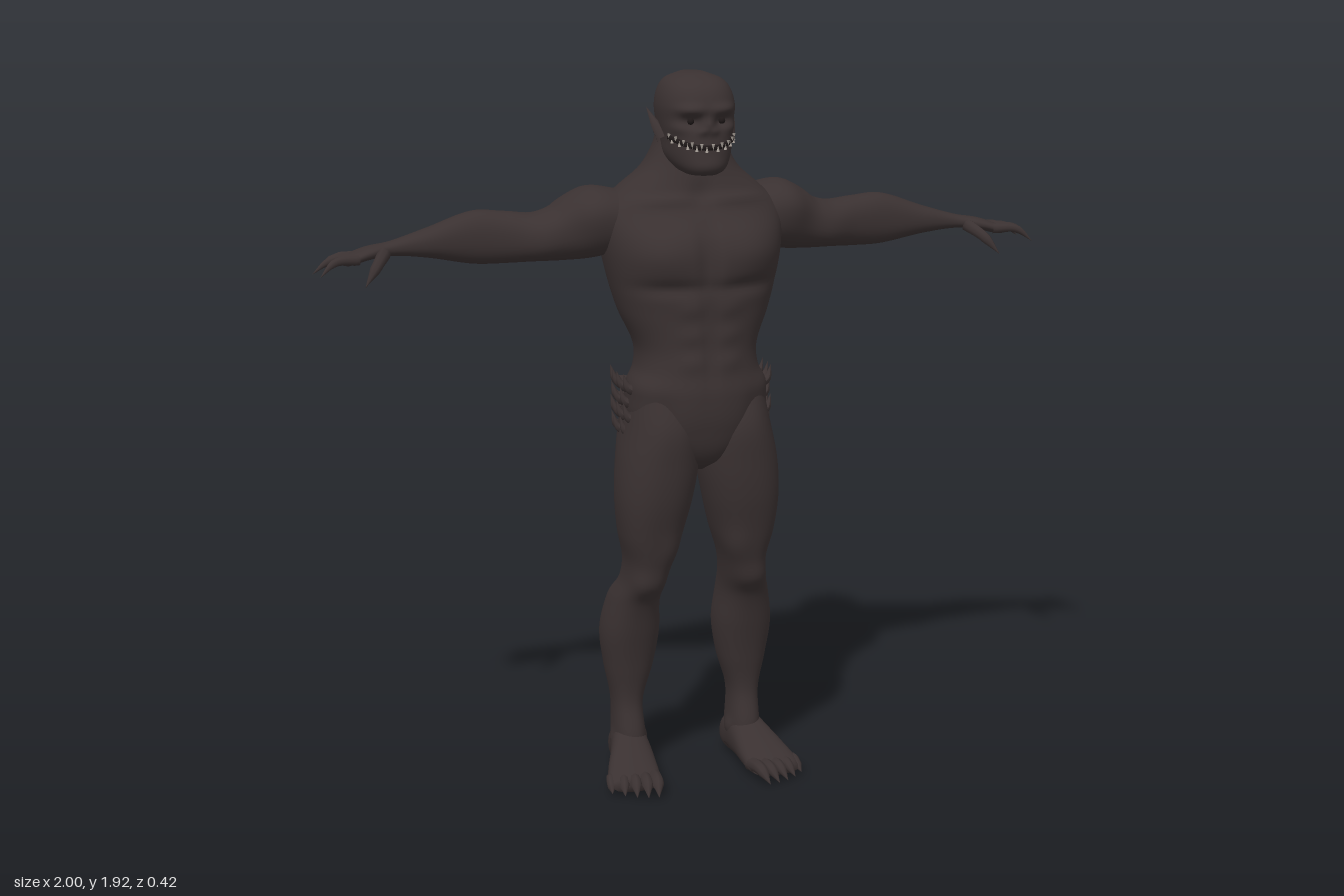
import * as THREE from 'three';

const mat = (name, color) => Object.assign(new THREE.MeshStandardMaterial({ color }), { name });

// Smooth curve through table rows; the first number of a row is the position along the axis
function sample(rows, t) {
  let i = 0;
  while (i < rows.length - 2 && t > rows[i + 1][0]) i++;
  const a = rows[i], b = rows[i + 1], p = rows[Math.max(i - 1, 0)], n = rows[Math.min(i + 2, rows.length - 1)];
  const h = b[0] - a[0], u = (t - a[0]) / h;
  return a.slice(1).map((_, k) => {
    k += 1;
    const m0 = (b[k] - p[k]) / (b[0] - p[0]) * h, m1 = (n[k] - a[k]) / (n[0] - a[0]) * h;
    const u2 = u * u, u3 = u2 * u;
    return (2 * u3 - 3 * u2 + 1) * a[k] + (u3 - 2 * u2 + u) * m0 + (3 * u2 - 2 * u3) * b[k] + (u3 - u2) * m1;
  });
}

// Closed loft of rounded sections. Row = [t, aMin, aMax, bMin, bMax];
// (a, b) are (x, z) along y, (z, y) along x and (y, x) along z.
function loft(axis, rows, steps, sides, power = 0.87) {
  const pos = [], index = [], t0 = rows[0][0], t1 = rows[rows.length - 1][0];
  const round = v => Math.sign(v) * Math.abs(v) ** power;
  for (let i = -1; i <= steps + 1; i++) {
    const t = t0 + (t1 - t0) * Math.min(Math.max(i, 0), steps) / steps;
    const [a0, a1, b0, b1] = sample(rows, t), open = i < 0 || i > steps ? 0 : 0.5;
    for (let j = 0; j < sides; j++) {
      const w = j / sides * Math.PI * 2;
      const a = (a0 + a1) / 2 + (a1 - a0) * open * round(Math.cos(w));
      const b = (b0 + b1) / 2 + (b1 - b0) * open * round(Math.sin(w));
      pos.push(...(axis === 'y' ? [a, t, b] : axis === 'x' ? [t, b, a] : [b, a, t]));
    }
  }
  for (let i = 0; i < steps + 2; i++) for (let j = 0; j < sides; j++) {
    const p = i * sides + j, q = i * sides + (j + 1) % sides;
    index.push(p, p + sides, q, q, p + sides, q + sides);
  }
  const g = new THREE.BufferGeometry();
  g.setAttribute('position', new THREE.Float32BufferAttribute(pos, 3));
  g.setIndex(index);
  g.computeVertexNormals();
  return g;
}

// Push the skin in or out around points: [x, y, z, rx, ry, rz, amount], the same on both sides
function sculpt(g, bumps) {
  const p = g.attributes.position, n = g.attributes.normal;
  for (let i = 0; i < p.count; i++) {
    const x = p.getX(i), y = p.getY(i), z = p.getZ(i);
    let d = 0;
    for (const [bx, by, bz, rx, ry, rz, k] of bumps)
      d += k * Math.exp(-(((Math.abs(x) - bx) / rx) ** 2) - ((y - by) / ry) ** 2 - ((z - bz) / rz) ** 2);
    p.setXYZ(i, x + n.getX(i) * d, y + n.getY(i) * d, z + n.getZ(i) * d);
  }
  g.computeVertexNormals();
  return g;
}

// Bent round finger, claw or horn that ends in a point
function spike(points, r, blunt = 0.6, n = 12) {
  const curve = new THREE.CatmullRomCurve3(points.map(p => new THREE.Vector3(...p)));
  const g = new THREE.TubeGeometry(curve, n, r, 8), p = g.attributes.position, v = new THREE.Vector3();
  for (let i = 0; i < p.count; i++) {
    const t = Math.floor(i / 9) / n;
    const f = t < blunt ? 1 - 0.25 * t / blunt : 0.75 * (1 - t) / (1 - blunt);
    v.fromBufferAttribute(p, i).lerp(curve.getPointAt(t), 1 - f);
    p.setXYZ(i, v.x, v.y, v.z);
  }
  g.computeVertexNormals();
  return g;
}

function mirror(g) {
  const m = g.clone().scale(-1, 1, 1), ix = m.index;
  for (let i = 0; i < ix.count; i += 3) {
    const a = ix.getX(i);
    ix.setX(i, ix.getX(i + 1));
    ix.setX(i + 1, a);
  }
  m.computeVertexNormals();
  return m;
}

export function createModel() {
  const model = new THREE.Group();
  model.name = 'creature';
  const skin = mat('dark skin', 0x3a3131), dark = mat('mouth and eye dark', 0x1e1818), bone = mat('teeth', 0xa8a098);
  const add = (name, g, m = skin) => {
    const mesh = new THREE.Mesh(g, m);
    mesh.name = name;
    model.add(mesh);
  };
  const pair = (name, g, m) => { add(name + 'Left', g, m); add(name + 'Right', mirror(g), m); };

  // Torso and neck: y, half width, back, front
  const torso = [
    [0.87, 0.025, -0.04, 0.07], [0.91, 0.09, -0.1, 0.14], [1.0, 0.18, -0.138, 0.175], [1.09, 0.186, -0.13, 0.183],
    [1.15, 0.165, -0.122, 0.175], [1.21, 0.163, -0.128, 0.168], [1.3, 0.2, -0.165, 0.165], [1.4, 0.228, -0.193, 0.17],
    [1.5, 0.245, -0.2, 0.155], [1.57, 0.24, -0.185, 0.11], [1.62, 0.19, -0.16, 0.085], [1.67, 0.132, -0.13, 0.07],
    [1.73, 0.098, -0.105, 0.055], [1.8, 0.08, -0.09, 0.04]];
  const torsoBumps = [
    [0.11, 1.46, 0.14, 0.09, 0.06, 0.08, 0.02], [0.1, 1.375, 0.16, 0.1, 0.02, 0.08, -0.013], // chest
    [0, 1.46, 0.16, 0.014, 0.1, 0.07, -0.014], [0, 1.22, 0.17, 0.012, 0.13, 0.06, -0.006],
    [0.1, 1.595, 0.09, 0.1, 0.012, 0.05, 0.008], [0, 1.61, 0.09, 0.03, 0.03, 0.04, -0.012], // collarbones
    [0, 1.33, -0.17, 0.025, 0.24, 0.08, -0.024], [0.12, 1.5, -0.18, 0.07, 0.07, 0.07, 0.014], // back
    [0.09, 1.0, -0.13, 0.07, 0.07, 0.06, 0.014], [0, 0.98, -0.13, 0.018, 0.09, 0.08, -0.035], // buttocks
    [0.12, 1.03, 0.14, 0.03, 0.06, 0.06, -0.008], [0.16, 1.11, 0.06, 0.05, 0.03, 0.1, 0.006]]; // hips
  for (const y of [1.18, 1.25, 1.32]) torsoBumps.push([0.05, y, 0.17, 0.035, 0.025, 0.05, 0.006]); // belly
  add('torso', sculpt(loft('y', torso.map(([y, w, b, f]) => [y, -w, w, b, f]), 90, 72), torsoBumps));

  // Head with brow, eye sockets, nose, cheeks and jaw
  const head = [
    [1.665, 0.04, 0.03, 0.13], [1.675, 0.058, -0.01, 0.148], [1.7, 0.076, -0.055, 0.153], [1.75, 0.088, -0.09, 0.148],
    [1.8, 0.097, -0.103, 0.14], [1.84, 0.1, -0.106, 0.142], [1.88, 0.09, -0.098, 0.126], [1.905, 0.069, -0.08, 0.096],
    [1.92, 0.03, -0.045, 0.05]];
  add('head', sculpt(loft('y', head.map(([y, w, b, f]) => [y, -w, w, b, f]), 60, 72), [
    [0.04, 1.833, 0.13, 0.035, 0.014, 0.04, 0.012], [0.042, 1.803, 0.13, 0.02, 0.014, 0.04, -0.016],
    [0, 1.795, 0.14, 0.014, 0.02, 0.03, 0.014], [0.015, 1.777, 0.14, 0.012, 0.01, 0.03, 0.008],
    [0.065, 1.785, 0.1, 0.02, 0.016, 0.04, 0.007], [0, 1.69, 0.14, 0.04, 0.02, 0.04, 0.006],
    [0.075, 1.72, 0.03, 0.03, 0.03, 0.05, 0.006]]));
  pair('eye', new THREE.SphereGeometry(0.009, 12, 8).translate(0.042, 1.804, 0.122), dark);
  pair('ear', spike([[0.088, 1.75, 0.035], [0.102, 1.785, 0.01], [0.118, 1.83, -0.025]], 0.018, 0.4));

  // Wide mouth wrapped round the face, with interlocking teeth
  const lip = w => {
    const s = Math.sin(w), c = Math.cos(w);
    return new THREE.Vector3(0.089 * Math.sign(s) * Math.abs(s) ** 0.87, 1.737 + 0.025 * s * s, 0.029 + 0.12 * c ** 0.87);
  };
  const mouthPath = new THREE.CatmullRomCurve3([...Array(15)].map((_, i) => lip((i - 7) / 7 * 1.25)));
  add('mouth', new THREE.TubeGeometry(mouthPath, 40, 0.007, 8), dark);
  for (let i = 0; i < 20; i++) {
    const p = lip((i - 9.5) / 9.5 * 1.2), up = i % 2 ? 1 : -1;
    const tooth = new THREE.ConeGeometry(0.0045, 0.017, 6);
    if (up < 0) tooth.rotateX(Math.PI);
    add('tooth', tooth.translate(p.x * 1.05, p.y - up * 0.002, 0.029 + (p.z - 0.029) * 1.05), bone);
  }

  // Arms: x, back, front, bottom, top
  pair('arm', sculpt(loft('x', [
    [0.1, -0.14, 0.03, 1.49, 1.59], [0.2, -0.172, 0.045, 1.45, 1.615], [0.27, -0.178, 0.04, 1.435, 1.622],
    [0.34, -0.176, 0.012, 1.43, 1.588], [0.4, -0.165, -0.005, 1.43, 1.557], [0.48, -0.153, -0.03, 1.427, 1.562],
    [0.57, -0.152, -0.045, 1.428, 1.566], [0.69, -0.14, -0.053, 1.45, 1.527], [0.79, -0.118, -0.058, 1.461, 1.498],
    [0.85, -0.125, -0.035, 1.455, 1.488], [0.9, -0.12, -0.025, 1.444, 1.472], [0.915, -0.112, -0.03, 1.445, 1.464]],
  70, 40), [
    [0.27, 1.56, 0.03, 0.06, 0.05, 0.05, 0.012], [0.36, 1.57, -0.08, 0.02, 0.04, 0.09, -0.006],
    [0.4, 1.48, 0, 0.06, 0.05, 0.05, 0.007], [0.38, 1.49, -0.17, 0.07, 0.05, 0.05, 0.008]]));

  // Fingers and thumb
  [[-0.108, -0.118, 0.945, 1.438], [-0.085, -0.088, 0.978, 1.43], [-0.06, -0.052, 0.998, 1.428], [-0.037, -0.004, 0.985, 1.426]]
    .forEach(([z0, z1, x, y]) => pair('finger', spike(
      [[0.88, 1.461, z0], [(0.88 + x) / 2 + 0.01, 1.46, (z0 + z1) / 2], [x, y, z1]], 0.0135)));
  pair('thumb', spike([[0.81, 1.472, -0.055], [0.84, 1.445, -0.005], [0.875, 1.4, 0.025]], 0.018));

  // Legs: y, inner, outer, back, front
  pair('leg', sculpt(loft('y', [
    [0.03, 0.122, 0.208, -0.148, 0.0], [0.1, 0.122, 0.21, -0.138, 0.008], [0.2, 0.125, 0.21, -0.134, -0.012],
    [0.3, 0.097, 0.229, -0.148, 0.002], [0.4, 0.082, 0.24, -0.156, 0.026], [0.5, 0.088, 0.222, -0.135, 0.056],
    [0.56, 0.083, 0.2, -0.1, 0.095], [0.62, 0.071, 0.195, -0.081, 0.113], [0.7, 0.045, 0.211, -0.084, 0.133],
    [0.8, 0.02, 0.222, -0.082, 0.158], [0.9, 0.004, 0.216, -0.1, 0.17], [1.0, 0.006, 0.197, -0.135, 0.172],
    [1.1, 0.04, 0.175, -0.1, 0.14]], 90, 48), [
    [0.15, 0.56, 0.09, 0.04, 0.035, 0.04, 0.008], [0.09, 0.66, 0.11, 0.035, 0.05, 0.05, 0.008],
    [0.19, 0.7, 0.11, 0.04, 0.08, 0.06, 0.005], [0.16, 0.56, -0.08, 0.04, 0.05, 0.04, -0.008],
    [0.165, 0.45, -0.15, 0.012, 0.1, 0.04, -0.008], [0.21, 0.085, -0.06, 0.02, 0.02, 0.025, 0.008],
    [0.122, 0.09, -0.055, 0.02, 0.02, 0.025, 0.008]]));

  // Feet, turned slightly outward: z, bottom, top, inner, outer
  pair('foot', loft('z', [
    [-0.155, 0.015, 0.05, 0.145, 0.185], [-0.13, 0.0, 0.1, 0.122, 0.205], [-0.06, 0.0, 0.13, 0.118, 0.217],
    [0.0, 0.002, 0.113, 0.118, 0.235], [0.06, 0.0, 0.08, 0.12, 0.258], [0.11, 0.0, 0.055, 0.125, 0.27],
    [0.14, 0.004, 0.038, 0.135, 0.262]], 30, 32));
  for (let i = 0; i < 5; i++) {
    const x = 0.142 + i * 0.028, reach = 0.212 - i * i * 0.004;
    pair('toe', spike([[x, 0.028, 0.09], [x + 0.006, 0.034, reach - 0.05], [x + 0.016, 0.008, reach]], 0.021 - i * 0.0015, 0.65));
  }

  // Rows of pointed scales on the hips
  for (let row = 0; row < 4; row++) for (let i = 0; i < 3 + row % 2; i++) {
    const y = 0.97 + row * 0.04, z = (i - (2 + row % 2) / 2) * 0.042 - 0.01;
    const out = 0.215 - Math.abs(z + 0.01) * 0.15;
    pair('hipScale', spike([[0.165, y, z], [out - 0.013, y + 0.012, z], [out, y + 0.05, z - 0.004]], 0.018, 0.35));
  }
  return model;
}
